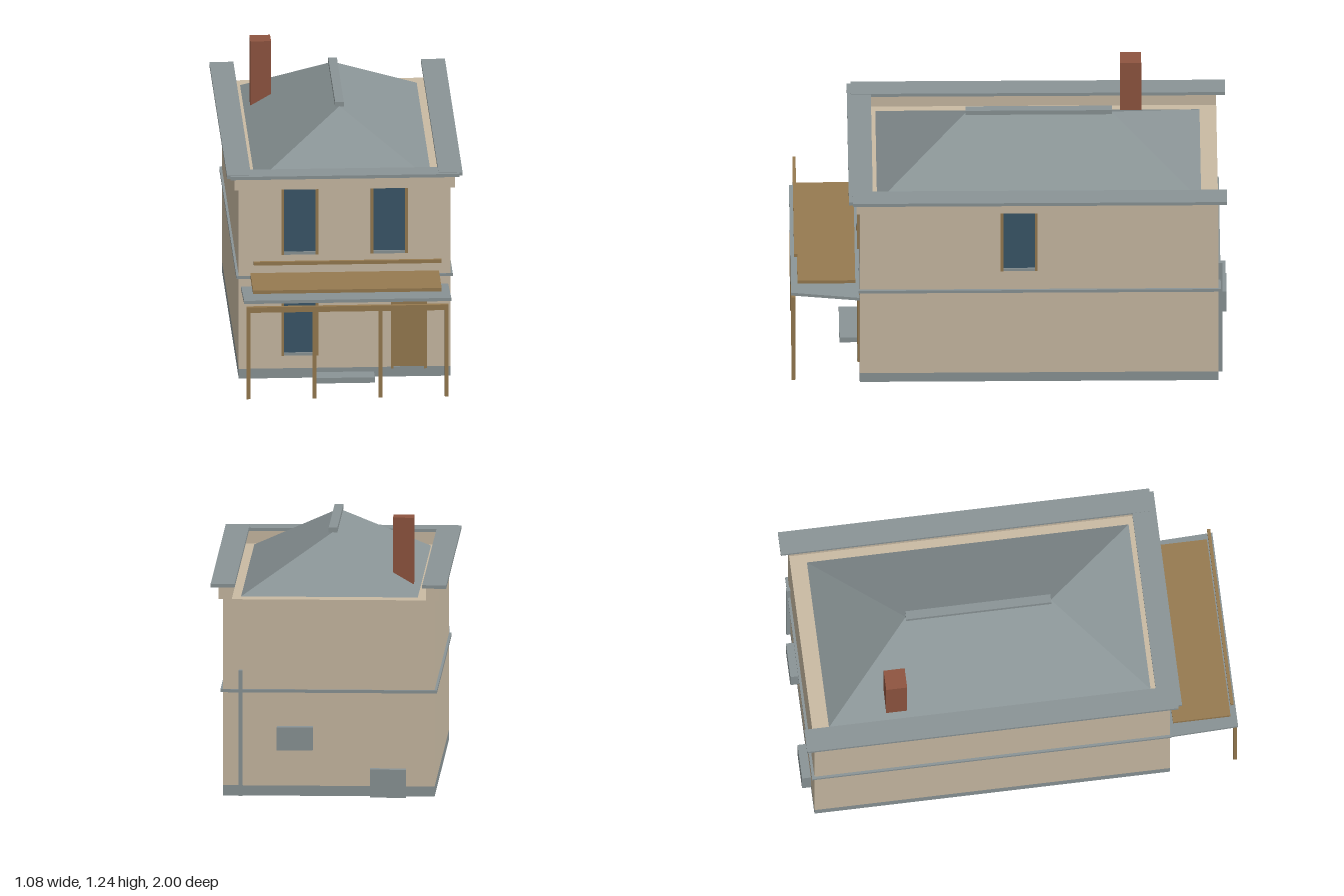
import * as THREE from 'three';

const mat = (name, color) => {
  const m = new THREE.MeshStandardMaterial({ color });
  m.name = name;
  return m;
};

export function createModel() {
  const model = new THREE.Group();
  model.name = 'house';
  const wall = mat('beige render', 0xc9baa3);
  const stone = mat('grey trim', 0x8a9496);
  const slate = mat('roof slate', 0x8a9496);
  const wood = mat('brown wood', 0x967a50);
  const glass = mat('window glass', 0x3a5668);
  const brick = mat('chimney brick', 0x8f5540);

  // Box given by its limits along each axis
  const box = (name, m, x0, x1, y0, y1, z0, z1, parent = model) => {
    const mesh = new THREE.Mesh(new THREE.BoxGeometry(x1 - x0, y1 - y0, z1 - z0), m);
    mesh.position.set((x0 + x1) / 2, (y0 + y1) / 2, (z0 + z1) / 2);
    mesh.name = name;
    parent.add(mesh);
    return mesh;
  };

  // Body, plinth and string course
  const back = -0.957, front = 0.685;
  box('plinth', stone, -0.485, 0.485, 0, 0.047, back, front);
  box('walls', wall, -0.485, 0.485, 0.047, 0.91, back, front);
  box('stringCourse', stone, -0.496, 0.496, 0.48, 0.494, -0.969, 0.69);

  // Parapet on three sides, open at the back, with a wide coping
  box('frontParapet', wall, -0.505, 0.505, 0.91, 0.97, 0.64, 0.7);
  box('frontCoping', stone, -0.525, 0.525, 0.97, 0.985, 0.625, 0.735);
  for (const s of [-1, 1]) {
    const a = s < 0 ? -0.505 : 0.445, c = s < 0 ? -0.54 : 0.43;
    box('sideParapet', wall, a, a + 0.06, 0.91, 0.97, back, 0.64);
    box('sideCoping', stone, c, c + 0.11, 0.971, 0.987, -0.997, 0.717);
  }

  // Hipped roof
  const A = [-0.405, 0.911, 0.605], B = [0.405, 0.911, 0.605];
  const C = [0.405, 0.911, -0.88], D = [-0.405, 0.911, -0.88];
  const E = [0, 1.147, 0.195], F = [0, 1.147, -0.475];
  const roofGeo = new THREE.BufferGeometry();
  const corners = [A, B, E, B, C, F, B, F, E, C, D, F, D, A, E, D, E, F];
  roofGeo.setAttribute('position', new THREE.Float32BufferAttribute(corners.flat(), 3));
  roofGeo.computeVertexNormals();
  const roof = new THREE.Mesh(roofGeo, slate);
  roof.name = 'hippedRoof';
  model.add(roof);
  box('ridgeCap', stone, -0.02, 0.02, 1.145, 1.167, -0.475, 0.195);
  box('chimney', brick, -0.375, -0.28, 0.915, 1.237, -0.612, -0.515);

  // Window facing +z about its own origin at the bottom centre
  const addWindow = (h, x, y, z, turn = 0, lintel = false) => {
    const g = new THREE.Group();
    g.name = 'window';
    box('pane', glass, -0.073, 0.073, 0.012, h, -0.002, 0.003, g);
    box('leftJamb', wood, 0.072, 0.085, 0, h, -0.002, 0.01, g);
    box('rightJamb', wood, -0.085, -0.072, 0, h, -0.002, 0.01, g);
    box('sill', stone, -0.072, 0.072, 0, 0.014, -0.002, 0.009, g);
    if (lintel) box('lintel', stone, -0.085, 0.085, h, h + 0.01, -0.002, 0.01, g);
    g.position.set(x, y, z);
    g.rotation.y = turn;
    model.add(g);
  };
  addWindow(0.315, -0.205, 0.595, front);
  addWindow(0.315, 0.205, 0.595, front);
  addWindow(0.36, -0.205, 0.11, front, 0, true);
  addWindow(0.315, 0.485, 0.595, -0.045, Math.PI / 2);

  // Door and step
  box('door', wood, 0.212, 0.377, 0.04, 0.402, front - 0.002, 0.694);
  box('doorSill', stone, 0.225, 0.365, 0.04, 0.052, front, 0.696);
  box('frontStep', stone, -0.137, 0.135, 0, 0.026, front, 0.775);

  // Porch: posts, beam, sloping canopy, balcony deck and rail
  for (const x of [-0.455, -0.152, 0.15, 0.454]) {
    box('porchPost', wood, x - 0.009, x + 0.009, 0, 0.416, 0.979, 0.997);
  }
  box('porchBeam', wood, -0.464, 0.462, 0.415, 0.441, 0.979, 0.997);
  const profile = new THREE.Shape([[0.687, 0.43], [1, 0.459], [1, 0.474], [0.687, 0.444]]
    .map(([z, y]) => new THREE.Vector2(-z, y)));
  const canopyGeo = new THREE.ExtrudeGeometry(profile, { depth: 0.95, bevelEnabled: false });
  canopyGeo.rotateY(Math.PI / 2).translate(-0.475, 0, 0);
  const canopy = new THREE.Mesh(canopyGeo, stone);
  canopy.name = 'porchCanopy';
  model.add(canopy);
  box('balconyDeck', wood, -0.433, 0.432, 0.497, 0.513, 0.705, 0.97);
  box('balconyRail', wood, -0.43, 0.43, 0.638, 0.654, 0.97, 0.985);

  // Service boxes and pipe on the back wall
  box('lowerServiceBox', stone, -0.355, -0.19, 0, 0.13, -0.998, back);
  box('upperServiceBox', stone, 0.072, 0.237, 0.217, 0.323, -0.998, back);
  box('drainPipe', stone, 0.395, 0.412, 0, 0.583, -0.976, back);

  return model;
}
